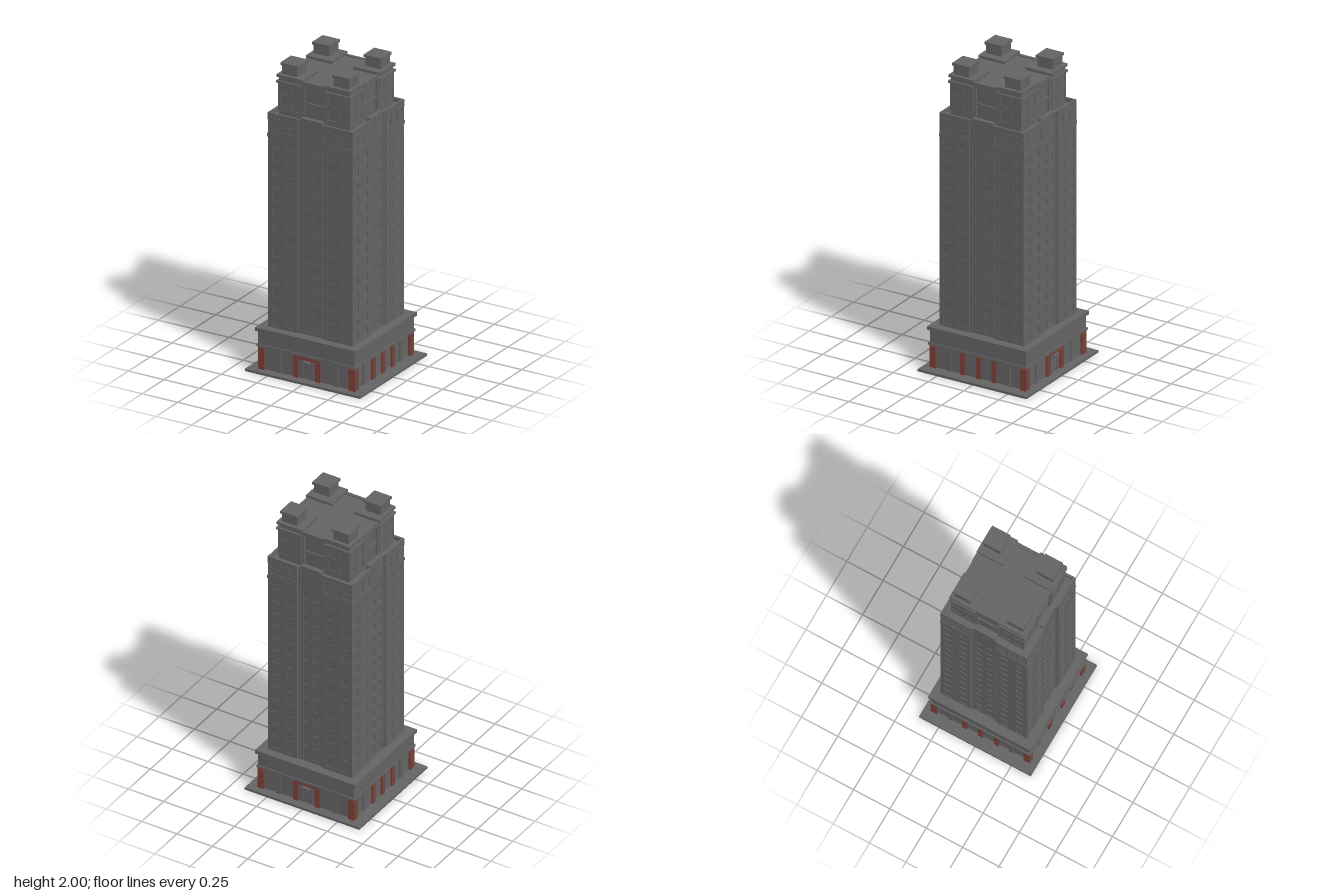
import * as THREE from 'three';

const stone = new THREE.MeshStandardMaterial({ color: 0x636365 });
stone.name = 'grey stone';
const brick = new THREE.MeshStandardMaterial({ color: 0x7a4038 });
brick.name = 'red brick';

// Box standing on y0, reaching y1
function box(parent, name, w, y0, y1, d, x = 0, z = 0, mat = stone) {
  const mesh = new THREE.Mesh(new THREE.BoxGeometry(w, y1 - y0, d), mat);
  mesh.position.set(x, (y0 + y1) / 2, z);
  mesh.name = name;
  parent.add(mesh);
  return mesh;
}

// Thin wall sheet pierced by a grid of openings, facing +z
function pierced(parent, name, x0, x1, y0, y1, z, cols, rows, fillX, fillY, depth) {
  const w = x1 - x0, h = y1 - y0, cw = w / cols, ch = h / rows;
  const shape = new THREE.Shape();
  shape.moveTo(0, 0).lineTo(w, 0).lineTo(w, h).lineTo(0, h).closePath();
  for (let c = 0; c < cols; c++) {
    for (let r = 0; r < rows; r++) {
      const cx = (c + 0.5) * cw, cy = (r + 0.5) * ch;
      const a = cw * fillX / 2, b = ch * fillY / 2;
      const hole = new THREE.Path();
      hole.moveTo(cx - a, cy - b).lineTo(cx - a, cy + b).lineTo(cx + a, cy + b).lineTo(cx + a, cy - b).closePath();
      shape.holes.push(hole);
    }
  }
  const mesh = new THREE.Mesh(new THREE.ExtrudeGeometry(shape, { depth, bevelEnabled: false }), stone);
  mesh.position.set(x0, y0, z);
  mesh.name = name;
  parent.add(mesh);
}

// Details of one facade, facing +z
function facade(name, isEntrance) {
  const g = new THREE.Group();
  g.name = name;

  // Street level pillars and doorway
  if (isEntrance) {
    for (const s of [-1, 1]) {
      box(g, 'entrancePillar', 0.034, 0.015, 0.157, 0.02, s * 0.077, 0.328, brick);
      box(g, 'streetPillar', 0.03, 0.015, 0.165, 0.014, s * 0.2, 0.327);
      box(g, 'doorPillar', 0.012, 0.015, 0.13, 0.012, s * 0.035, 0.326);
    }
    box(g, 'entranceLintel', 0.12, 0.138, 0.157, 0.016, 0, 0.328, brick);
    box(g, 'doorCanopy', 0.05, 0.118, 0.132, 0.035, 0, 0.332);
  } else {
    for (const x of [-0.11, 0, 0.11]) box(g, 'streetPillar', 0.032, 0.015, 0.157, 0.02, x, 0.328, brick);
    for (const x of [-0.21, 0.21]) box(g, 'streetPillar', 0.03, 0.015, 0.165, 0.014, x, 0.327);
  }

  // Shaft windows: two wings and the recessed centre bay
  for (const s of [-1, 1]) {
    const [a, b] = s < 0 ? [-0.297, -0.09] : [0.09, 0.297];
    pierced(g, 'wingWindows', a, b, 0.285, 1.53, 0.292, 2, 14, 0.45, 0.55, 0.005);
    pierced(g, 'crownPanels', a, b, 1.545, 1.66, 0.291, 3, 1, 0.78, 0.62, 0.006);
    box(g, 'crownRail', 0.19, 1.597, 1.607, 0.012, s * 0.194, 0.289);
    box(g, 'bayRib', 0.012, 0.285, 1.68, 0.014, s * 0.079, 0.284);
    // Upper storey relief
    const [c, d] = s < 0 ? [-0.252, -0.09] : [0.09, 0.252];
    pierced(g, 'upperWingPanels', c, d, 1.69, 1.88, 0.247, 2, 2, 0.7, 0.72, 0.005);
    box(g, 'upperRib', 0.012, 1.66, 1.9, 0.016, s * 0.076, 0.24);
  }
  pierced(g, 'bayWindows', -0.073, 0.073, 0.285, 1.53, 0.281, 2, 14, 0.5, 0.55, 0.005);
  box(g, 'bayTop', 0.146, 1.53, 1.69, 0.03, 0, 0.272);
  box(g, 'upperBayLedge', 0.14, 1.765, 1.777, 0.014, 0, 0.238);
  box(g, 'upperBayCornice', 0.17, 1.885, 1.912, 0.02, 0, 0.243);
  return g;
}

export function createModel() {
  const model = new THREE.Group();
  model.name = 'tower';

  // Ground slab and plinth
  box(model, 'groundSlab', 0.81, 0, 0.015, 0.77);
  box(model, 'streetLevel', 0.65, 0.015, 0.17, 0.65);
  box(model, 'plinthLedge', 0.694, 0.163, 0.178, 0.694);
  box(model, 'plinthBand', 0.68, 0.178, 0.262, 0.68);
  box(model, 'plinthCornice', 0.708, 0.262, 0.285, 0.702);

  // Main shaft, upper storey and the sunken roof cross
  box(model, 'shaftCore', 0.562, 0.285, 1.66, 0.562);
  box(model, 'upperCore', 0.472, 1.66, 1.905, 0.472);

  // Corner masses
  for (const sx of [-1, 1]) {
    for (const sz of [-1, 1]) {
      const corner = new THREE.Group();
      corner.name = 'corner';
      const block = (name, lo, hi, y0, y1, mat) =>
        box(corner, name, hi - lo, y0, y1, hi - lo, sx * (lo + hi) / 2, sz * (lo + hi) / 2, mat);
      block('streetCornerPillar', 0.298, 0.341, 0.015, 0.157, brick);
      block('wing', 0.09, 0.292, 0.285, 1.655);
      block('crownLowerLedge', 0.088, 0.3, 1.525, 1.547);
      block('crownUpperLedge', 0.088, 0.299, 1.638, 1.652);
      // Terrace parapet around the corner
      box(corner, 'parapet', 0.21, 1.655, 1.683, 0.014, sx * 0.193, sz * 0.291);
      box(corner, 'parapet', 0.014, 1.655, 1.683, 0.21, sx * 0.291, sz * 0.193);
      // Upper corner pier with double cornice
      block('upperPier', 0.085, 0.248, 1.655, 1.922);
      block('upperLowerCornice', 0.082, 0.261, 1.872, 1.886);
      block('upperTopCornice', 0.077, 0.259, 1.908, 1.926);
      // Roof turret
      block('turret', 0.128, 0.236, 1.92, 1.985);
      block('turretCap', 0.12, 0.243, 1.983, 2);
      model.add(corner);
    }
  }

  // Four facades
  ['frontFacade', 'leftFacade', 'backFacade', 'rightFacade'].forEach((name, i) => {
    const side = facade(name, i % 2 === 0);
    side.rotation.y = i * Math.PI / 2;
    model.add(side);
  });
  return model;
}
